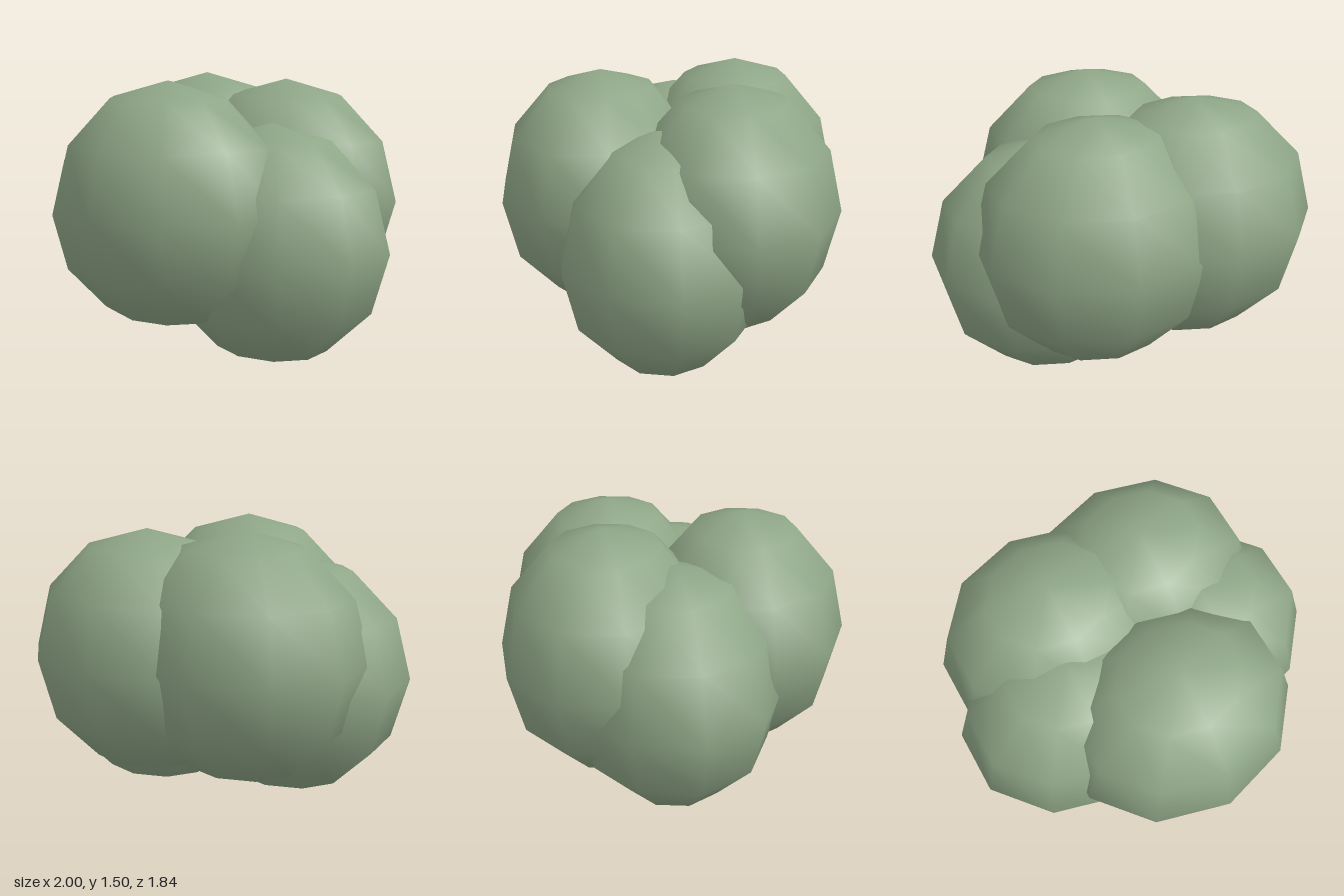
import * as THREE from 'three';

export function createModel() {
  const group = new THREE.Group();
  group.name = 'leafClump';
  const material = new THREE.MeshStandardMaterial({ color: 0x8fa687 });

  // One smooth, coarse ball, slightly flattened front to back, with a corner facing front
  const ball = new THREE.SphereGeometry(0.637, 10, 6, Math.PI / 2);
  ball.scale(1, 1, 0.872);

  // Overlapping balls that make up the clump
  const lobes = [
    ['frontLobe', 0.03, 0.855, 0.36],
    ['leftLobe', 0.394, 0.64, -0.04],
    ['rightLobe', -0.394, 0.715, 0.03],
    ['backLeftLobe', 0.235, 0.845, -0.365],
    ['backRightLobe', -0.3, 0.868, -0.32],
  ];
  for (const [name, x, y, z] of lobes) {
    const lobe = new THREE.Mesh(ball, material);
    lobe.name = name;
    lobe.position.set(x, y, z);
    group.add(lobe);
  }
  return group;
}
